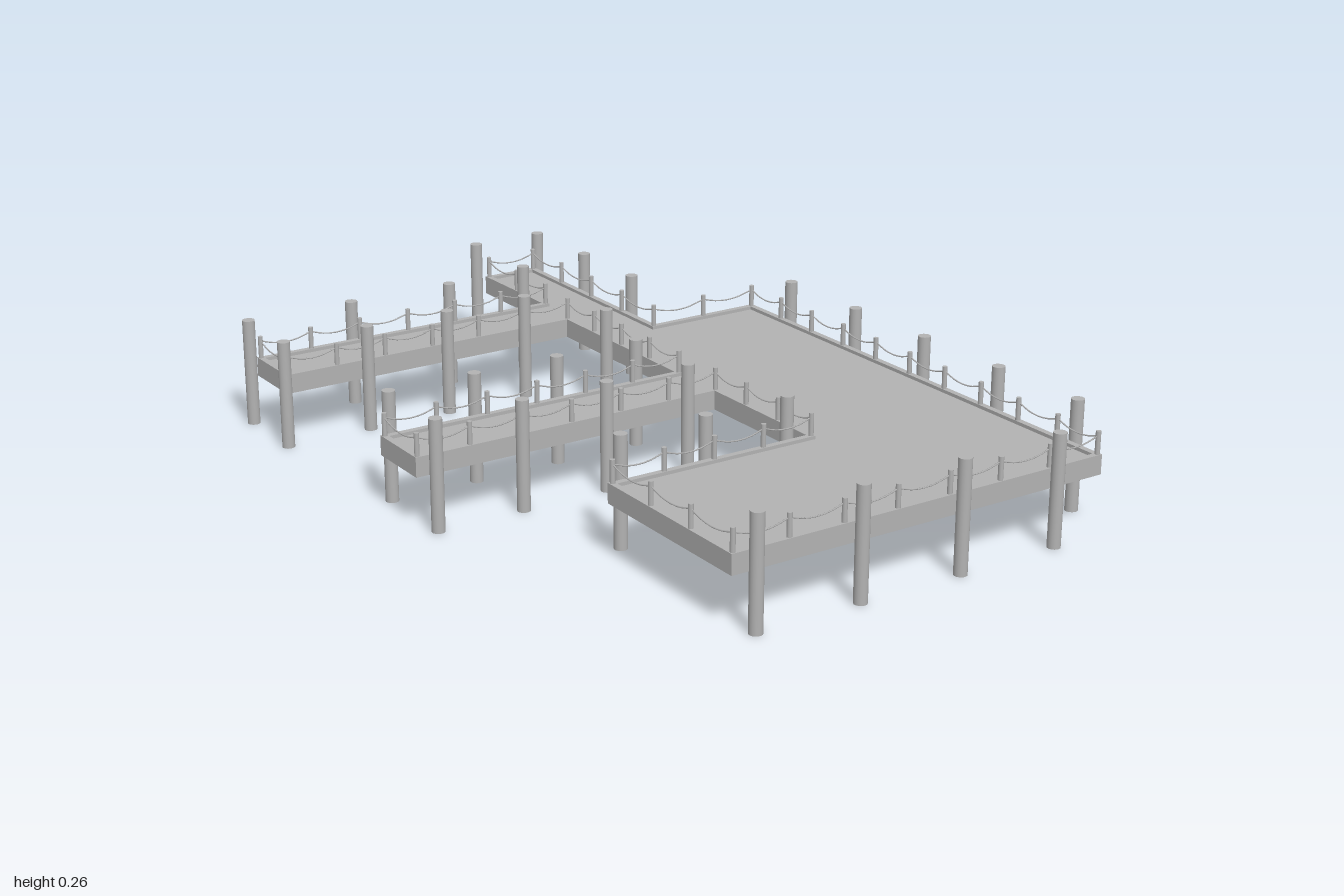
import * as THREE from 'three';

const deckGrey = new THREE.MeshStandardMaterial({ color: 0xb2b2b2 });
deckGrey.name = 'weathered grey';

// Dock outline as [x, z], running clockwise seen from above
const OUTLINE = [
  [0.312, -0.975], [0.463, -0.95], [0.355, -0.36], [0.655, -0.308],
  [0.428, 0.977], [-0.547, 0.808], [-0.467, 0.36], [0.048, 0.452],
  [0.109, 0.102], [-0.67, -0.035], [-0.641, -0.198], [0.135, -0.06],
  [0.22, -0.542], [-0.555, -0.675], [-0.527, -0.835], [0.265, -0.692],
].map(([x, z]) => new THREE.Vector2(x, z));

// Mooring piles as [x, z]
const PILES = [
  [0.29, -0.985], [0.48, -0.955], [0.44, -0.72], [0.395, -0.488],
  [0.652, -0.167], [0.606, 0.094], [0.56, 0.354], [0.515, 0.615], [0.468, 0.875],
  [0.27, 0.979], [0.01, 0.935], [-0.25, 0.887], [-0.51, 0.841],
  [-0.413, 0.342], [-0.198, 0.382], [0.018, 0.42],
  [0.01, 0.114], [-0.207, 0.074], [-0.424, 0.035], [-0.639, -0.002],
  [-0.602, -0.214], [-0.386, -0.176], [-0.17, -0.138], [0.046, -0.1],
  [0.153, -0.32],
  [0.079, -0.543], [-0.138, -0.581], [-0.353, -0.62], [-0.57, -0.658],
  [-0.535, -0.852], [-0.262, -0.804], [0.01, -0.755], [0.246, -0.742],
];

const RIM_TOP = 0.172, RIM_BOTTOM = 0.125, RIM_WIDTH = 0.015;
const POST_TOP = 0.226, ROPE_Y = 0.215, SAG = 0.014, SPACING = 0.135;

// Moves every corner inward by d with mitred joints
function inset(points, d) {
  const n = points.length;
  const normal = (a, b) => {
    const e = b.clone().sub(a).normalize();
    return new THREE.Vector2(-e.y, e.x);
  };
  return points.map((p, i) => {
    const n1 = normal(points[(i + n - 1) % n], p);
    const n2 = normal(p, points[(i + 1) % n]);
    const scale = d / (1 + n1.dot(n2));
    return p.clone().add(n1.add(n2).multiplyScalar(scale));
  });
}

// Horizontal slab from a plan shape, hanging down from the given top
function slab(shape, top, bottom) {
  const g = new THREE.ExtrudeGeometry(shape, { depth: top - bottom, bevelEnabled: false });
  g.rotateX(Math.PI / 2);
  g.translate(0, top, 0);
  return g;
}

export function createModel() {
  const model = new THREE.Group();
  model.name = 'dock';
  const add = (parent, name, geometry) => {
    const mesh = new THREE.Mesh(geometry, deckGrey);
    mesh.name = name;
    parent.add(mesh);
    return mesh;
  };
  const group = (name) => {
    const g = new THREE.Group();
    g.name = name;
    model.add(g);
    return g;
  };

  // Deck set just below the top of a hollow edge frame
  const inner = inset(OUTLINE, RIM_WIDTH);
  add(model, 'deck', slab(new THREE.Shape(inner), 0.164, 0.158));
  const rim = new THREE.Shape(OUTLINE);
  rim.holes.push(new THREE.Path(inner));
  add(model, 'edgeFrame', slab(rim, RIM_TOP, RIM_BOTTOM));

  // Tall piles around the outside
  const piles = group('piles');
  const pileGeometry = new THREE.CylinderGeometry(0.0155, 0.0155, 0.265, 16);
  for (const [x, z] of PILES) {
    add(piles, 'pile', pileGeometry).position.set(x, 0.1325, z);
  }

  // Short rail posts on the frame with sagging ropes between them
  const posts = group('railPosts');
  const ropes = group('ropes');
  const postGeometry = new THREE.CylinderGeometry(0.006, 0.006, POST_TOP - 0.165, 10);
  const line = inset(OUTLINE, RIM_WIDTH / 2);
  line.forEach((a, i) => {
    const b = line[(i + 1) % line.length];
    const count = Math.max(1, Math.round(a.distanceTo(b) / SPACING));
    for (let k = 0; k < count; k++) {
      const p = a.clone().lerp(b, k / count);
      const q = a.clone().lerp(b, (k + 1) / count);
      add(posts, 'railPost', postGeometry).position.set(p.x, (POST_TOP + 0.165) / 2, p.y);
      const points = [0, 0.25, 0.5, 0.75, 1].map((t) => {
        const m = p.clone().lerp(q, t);
        return new THREE.Vector3(m.x, ROPE_Y - SAG * 4 * t * (1 - t), m.y);
      });
      add(ropes, 'rope', new THREE.TubeGeometry(new THREE.CatmullRomCurve3(points), 8, 0.0018, 5));
    }
  });

  return model;
}
